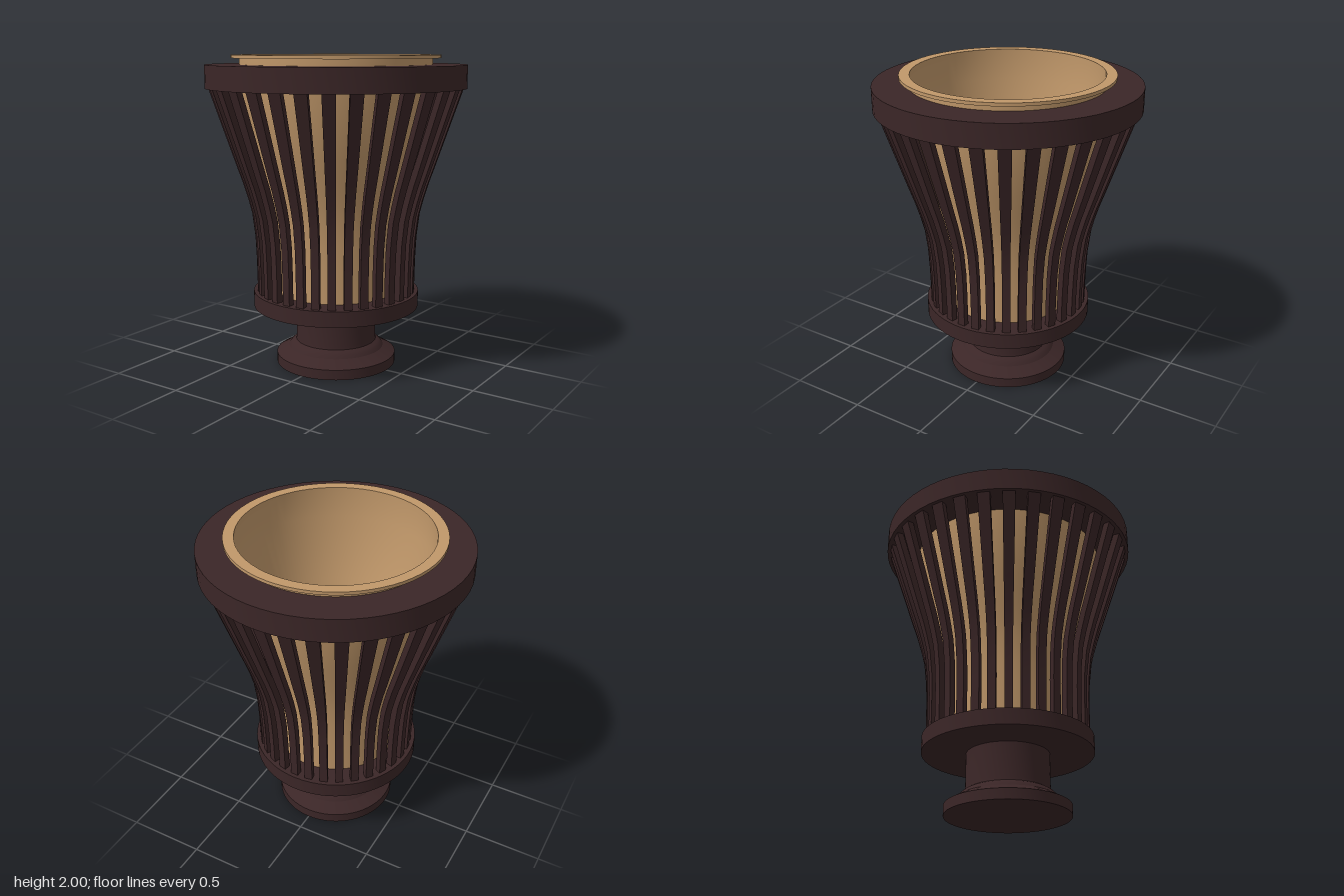
import * as THREE from 'three';
import { toCreasedNormals } from 'three/addons/utils/BufferGeometryUtils.js';

const SEGMENTS = 64;
const SLATS = 32;
const PITCH = (Math.PI * 2) / SLATS;

// Flared side profile of the slatted body: [radius, height]
const FLARE = [
  [0.512, 0.48], [0.513, 0.6], [0.516, 0.72], [0.522, 0.85], [0.54, 1.0],
  [0.565, 1.1], [0.595, 1.2], [0.63, 1.3], [0.664, 1.4], [0.8, 1.8],
];

export function createModel() {
  const dark = new THREE.MeshStandardMaterial({ color: 0x3b2627 });
  dark.name = 'dark wood';
  const tan = new THREE.MeshStandardMaterial({ color: 0xc1986a });
  tan.name = 'tan lining';

  const model = new THREE.Group();
  model.name = 'slattedPlanter';

  const turned = (name, profile, material) => {
    const points = profile.map(([r, y]) => new THREE.Vector2(r, y));
    const geometry = toCreasedNormals(new THREE.LatheGeometry(points, SEGMENTS), 0.45);
    const mesh = new THREE.Mesh(geometry, material);
    mesh.name = name;
    model.add(mesh);
  };

  // Turned foot and stem
  turned('foot', [
    [0, 0], [0.39, 0], [0.39, 0.065], [0.31, 0.108], [0.298, 0.125],
    [0.283, 0.14], [0.262, 0.152], [0.26, 0.17], [0.26, 0.4],
  ], dark);

  // Solid collar under the slats
  turned('lowerCollar', [[0, 0.39], [0.537, 0.39], [0.537, 0.49], [0, 0.49]], dark);

  // Wide ring holding the slats at the top
  turned('upperRing', [
    [0.6, 1.795], [0.82, 1.795], [0.82, 1.94], [0.6, 1.94], [0.6, 1.795],
  ], dark);

  // Lining bowl: up the outside, over the flange, down the inside to the floor
  const wall = FLARE.map(([r, y]) => [r * 0.75 + 0.006, y]);
  turned('liningBowl', [
    ...wall, [0.605, 1.98], [0.655, 1.98], [0.655, 2], [0.59, 2],
    ...wall.slice(1).reverse().map(([r, y]) => [r - 0.012, y]),
    [0.385, 0.52], [0, 0.52],
  ], tan);

  // One slat: a box bent onto the flare
  const thickness = 0.042;
  const slat = new THREE.BoxGeometry(1, 1, 1, 1, FLARE.length - 1, 1);
  const pos = slat.attributes.position;
  for (let i = 0; i < pos.count; i++) {
    const level = Math.round((pos.getY(i) + 0.5) * (FLARE.length - 1));
    const [r, y] = FLARE[level];
    const radius = pos.getZ(i) > 0 ? r : r - thickness;
    const angle = (pos.getX(i) - 0.5) * PITCH * 0.5;
    pos.setXYZ(i, radius * Math.sin(angle), y, radius * Math.cos(angle));
  }
  const slatGeometry = toCreasedNormals(slat, 0.6);

  // Ring of slats
  const slats = new THREE.Group();
  slats.name = 'slats';
  for (let i = 0; i < SLATS; i++) {
    const mesh = new THREE.Mesh(slatGeometry, dark);
    mesh.name = 'slat';
    mesh.rotation.y = i * PITCH;
    slats.add(mesh);
  }
  model.add(slats);

  return model;
}
